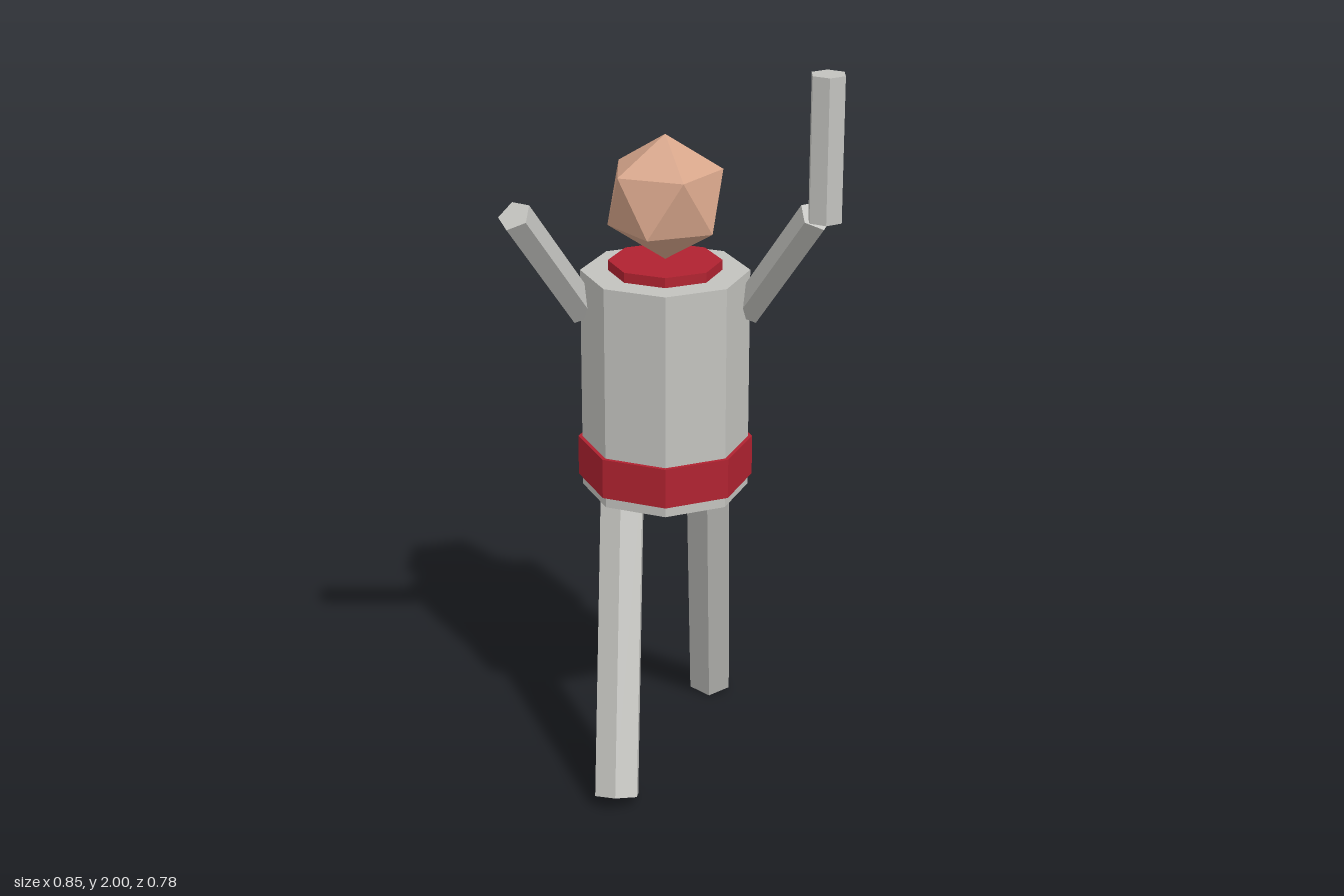
import * as THREE from 'three';

export function createModel() {
  const group = new THREE.Group();
  const mat = (name, color) => {
    const m = new THREE.MeshStandardMaterial({ color, flatShading: true });
    m.name = name;
    return m;
  };
  const cloth = mat('light grey', 0xc2c2be);
  const red = mat('deep red', 0xb02230);
  const skin = mat('skin tan', 0xd6a58a);
  const cx = -0.01; // body axis

  function add(name, geometry, material, x, y, z) {
    const mesh = new THREE.Mesh(geometry, material);
    mesh.name = name;
    mesh.position.set(x, y, z);
    group.add(mesh);
    return mesh;
  }

  // upright prism between two heights
  function prism(name, material, radius, y0, y1, sides, x = cx, z = 0) {
    return add(name, new THREE.CylinderGeometry(radius, radius, y1 - y0, sides), material, x, (y0 + y1) / 2, z);
  }

  // straight limb between two points, with one corner facing the way it leans
  function limb(name, radius, sides, from, to) {
    const a = new THREE.Vector3(...from), b = new THREE.Vector3(...to);
    const d = b.clone().sub(a), mid = a.clone().add(b).multiplyScalar(0.5);
    const mesh = add(name, new THREE.CylinderGeometry(radius, radius, d.length(), sides), cloth, mid.x, mid.y, mid.z);
    mesh.rotation.set(Math.atan2(Math.hypot(d.x, d.z), d.y), Math.atan2(d.x, d.z), 0, 'YXZ');
  }

  // torso, belt and collar
  prism('torso', cloth, 0.223, 0.8, 1.41, 8);
  prism('belt', red, 0.234, 0.83, 0.94, 8);
  prism('collar', red, 0.15, 1.39, 1.437, 8);

  // head: icosahedron standing on a corner
  const head = new THREE.IcosahedronGeometry(0.168, 0);
  head.rotateX(-Math.atan((1 + Math.sqrt(5)) / 2));
  head.rotateY(Math.PI / 2);
  add('head', head, skin, cx, 1.608, 0);

  // striding legs and raised arms
  for (const [side, s] of [['left', 1], ['right', -1]]) {
    limb(side + 'Leg', 0.065, 6, [cx + s * 0.132, 0.025, -s * 0.33], [cx + s * 0.115, 0.85, 0]);
    limb(side + 'Arm', 0.045, 5, [cx + s * 0.22, 1.3, -0.005], [cx + s * 0.376, 1.63, 0.235]);
  }

  // upright handle above the left hand
  prism('handle', cloth, 0.046, 1.63, 2, 6, 0.385, 0.281);

  return group;
}
